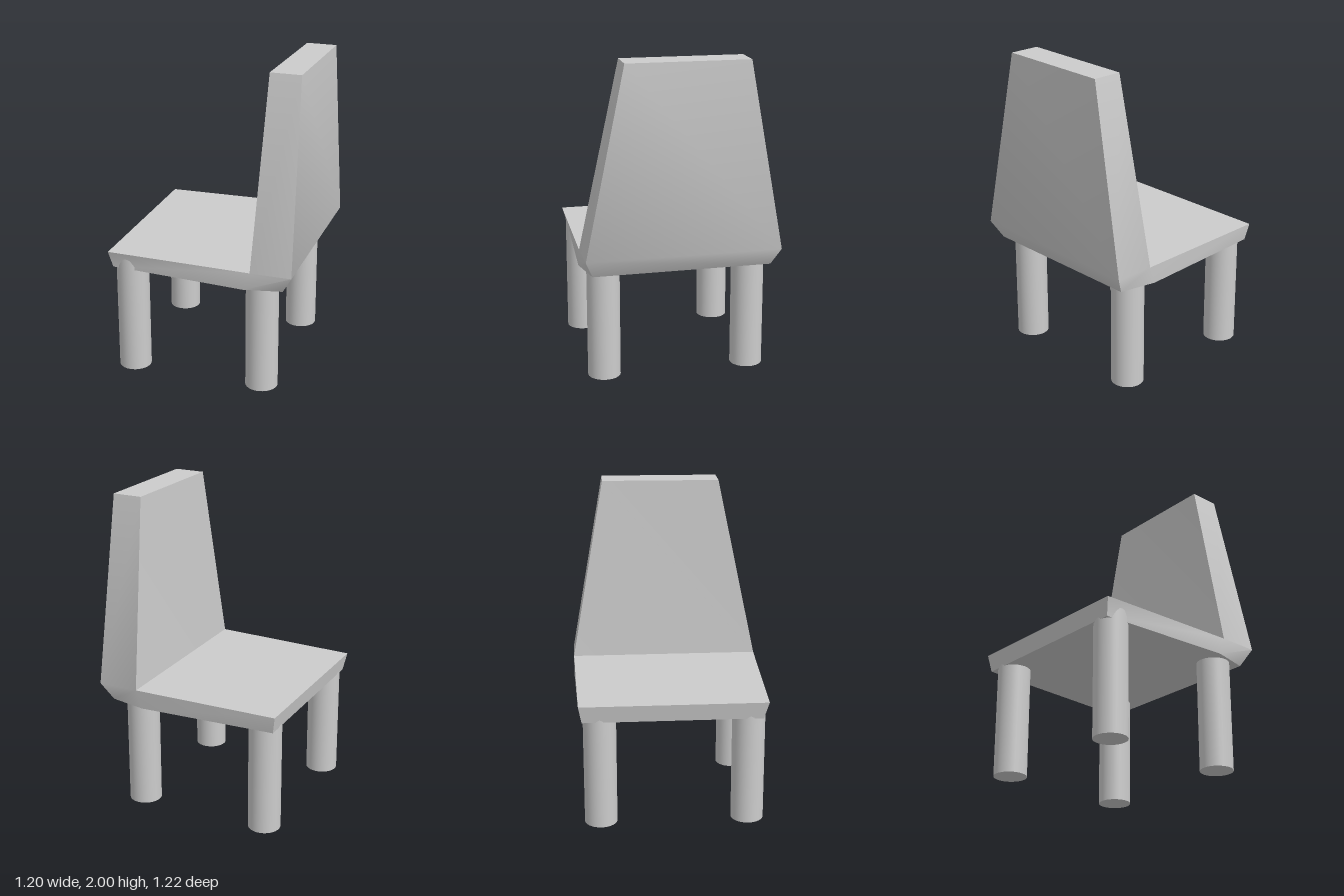
import * as THREE from 'three';
import { toCreasedNormals } from 'three/addons/utils/BufferGeometryUtils.js';

// Seat and backrest outline, counter-clockwise: [x, y, z] for the +z side and for the -z side
const OUTLINE = [
  [[-0.6, 0.815, 0.58], [-0.6, 0.815, -0.585]],   // 0 seat edge, top
  [[-0.58, 0.705, 0.55], [-0.58, 0.705, -0.565]], // 1 seat edge, bottom
  [[0.3, 0.705, 0.61], [0.3, 0.705, -0.61]],      // 2 underside below the backrest
  [[0.535, 0.705, 0.56], [0.535, 0.705, -0.56]],  // 3 rear underside corner
  [[0.6, 0.82, 0.61], [0.6, 0.82, -0.61]],        // 4 rear corner
  [[0.57, 2, 0.36], [0.585, 2, -0.4]],            // 5 backrest top, outer
  [[0.375, 2, 0.36], [0.395, 2, -0.4]],           // 6 backrest top, inner
  [[0.34, 0.82, 0.61], [0.34, 0.82, -0.61]],      // 7 seat meets backrest
];

function shellGeometry() {
  const positions = [];
  const quad = (a, b, c, d) => positions.push(...a, ...b, ...c, ...a, ...c, ...d);

  // Band running round the outline
  OUTLINE.forEach(([front, back], i) => {
    const [nextFront, nextBack] = OUTLINE[(i + 1) % OUTLINE.length];
    quad(back, nextBack, nextFront, front);
  });

  // Side faces: seat, rear corner, backrest
  for (const [a, b, c, d] of [[1, 2, 7, 0], [2, 3, 4, 7], [7, 4, 5, 6]]) {
    quad(OUTLINE[a][0], OUTLINE[b][0], OUTLINE[c][0], OUTLINE[d][0]);
    quad(OUTLINE[d][1], OUTLINE[c][1], OUTLINE[b][1], OUTLINE[a][1]);
  }

  const geometry = new THREE.BufferGeometry();
  geometry.setAttribute('position', new THREE.Float32BufferAttribute(positions, 3));
  return toCreasedNormals(geometry, 0.65);
}

export function createModel() {
  const chair = new THREE.Group();
  chair.name = 'chair';
  const grey = new THREE.MeshStandardMaterial({ color: 0xcccccc });
  grey.name = 'light grey';

  // Seat and tapering backrest in one solid
  const shell = new THREE.Mesh(shellGeometry(), grey);
  shell.name = 'seatAndBackrest';
  chair.add(shell);

  // Four round legs, sunk a little into the seat
  const legHeight = 0.775;
  const legGeometry = new THREE.CylinderGeometry(0.103, 0.103, legHeight, 32);
  for (const [x, end] of [[-0.48, 'front'], [0.38, 'rear']]) {
    for (const [z, side] of [[0.47, 'Left'], [-0.456, 'Right']]) {
      const leg = new THREE.Mesh(legGeometry, grey);
      leg.name = `${end}${side}Leg`;
      leg.position.set(x, legHeight / 2, z);
      chair.add(leg);
    }
  }
  return chair;
}
